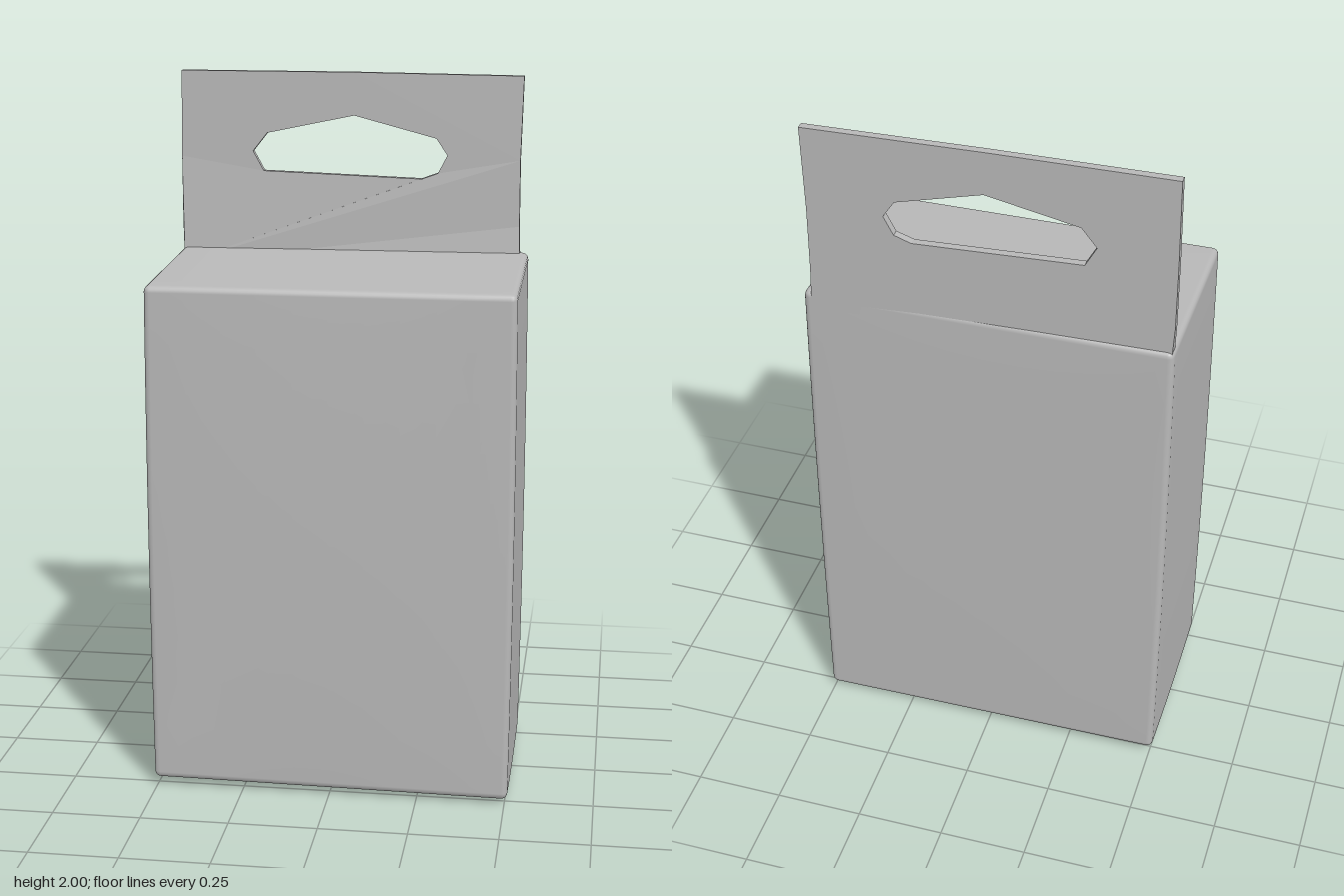
import * as THREE from 'three';
import { mergeVertices } from 'three/addons/utils/BufferGeometryUtils.js';

// Soft-edged carton: a gridded box with rounded edges and slightly bulging faces
function cartonGeometry(hx, hy, hz, r) {
  const n = 14, flat = 1 - 4 / n; // two outer grid steps form each rounded edge
  let g = new THREE.BoxGeometry(2, 2, 2, n, n, n);
  g.deleteAttribute('uv');
  g.deleteAttribute('normal');
  g = mergeVertices(g);
  const half = [hx, hy, hz];
  const p = g.attributes.position;
  const spread = (v, h) => {
    const s = Math.abs(v);
    const d = s <= flat ? (s / flat) * (h - r) : h - r + (r * (s - flat)) / (1 - flat);
    return Math.sign(v) * d;
  };
  for (let i = 0; i < p.count; i++) {
    const q = [p.getX(i), p.getY(i), p.getZ(i)].map((v, k) => spread(v, half[k]));
    const inner = q.map((v, k) => THREE.MathUtils.clamp(v, r - half[k], half[k] - r));
    const dir = new THREE.Vector3(...q.map((v, k) => v - inner[k]));
    if (dir.lengthSq() > 0) dir.setLength(r);
    let [x, y, z] = [inner[0] + dir.x, inner[1] + dir.y, inner[2] + dir.z];
    const u = x / hx, v = y / hy, w = z / hz;
    z += 0.01 * Math.sign(w) * Math.max(0, 1 - u * u) * (1 - v * v) * Math.abs(w) * (w > 0 ? 1 : 0.4);
    x += 0.004 * u * (1 - v * v);
    if (v > 0) y -= 0.012 * v * w;                    // lid rises toward the back
    else y += 0.016 * v * (1 - w * w) + 0.005 * v * u; // base sags along its middle
    p.setXYZ(i, x, y, z);
  }
  g.computeVertexNormals();
  return g;
}

// Hang panel with a hand hole, flared where it meets the lid
function panelGeometry() {
  const pts = (list) => list.map(([x, y]) => new THREE.Vector2(x, y));
  const shape = new THREE.Shape(pts([
    [-0.5, 1.44], [0.485, 1.44], [0.481, 1.56], [0.48, 1.75], [0.486, 1.99],
    [0, 1.996], [-0.503, 1.997], [-0.506, 1.75], [-0.506, 1.56],
  ]));
  shape.holes.push(new THREE.Path(pts([
    [-0.296, 1.767], [-0.254, 1.82], [0, 1.873], [0.238, 1.81],
    [0.27, 1.762], [0.243, 1.71], [0.196, 1.693], [-0.265, 1.71],
  ])));
  const depth = 0.022;
  const g = new THREE.ExtrudeGeometry(shape, { depth, bevelEnabled: false });
  const p = g.attributes.position;
  for (let i = 0; i < p.count; i++) {
    const x = p.getX(i), y = p.getY(i), front = p.getZ(i) > depth / 2;
    const flare = front && y < 1.5 ? 0.016 : 0;
    p.setZ(i, p.getZ(i) - 0.278 + flare - 0.012 * x);
  }
  g.computeVertexNormals();
  return g;
}

export function createModel() {
  const group = new THREE.Group();
  const card = new THREE.MeshStandardMaterial({ color: 0xb8b8b8 });
  card.name = 'grey card';

  const carton = new THREE.Mesh(cartonGeometry(0.508, 0.727, 0.282, 0.018), card);
  carton.name = 'carton';
  carton.position.y = 0.746;

  const panel = new THREE.Mesh(panelGeometry(), card);
  panel.name = 'hangPanel';

  group.add(carton, panel);
  return group;
}
